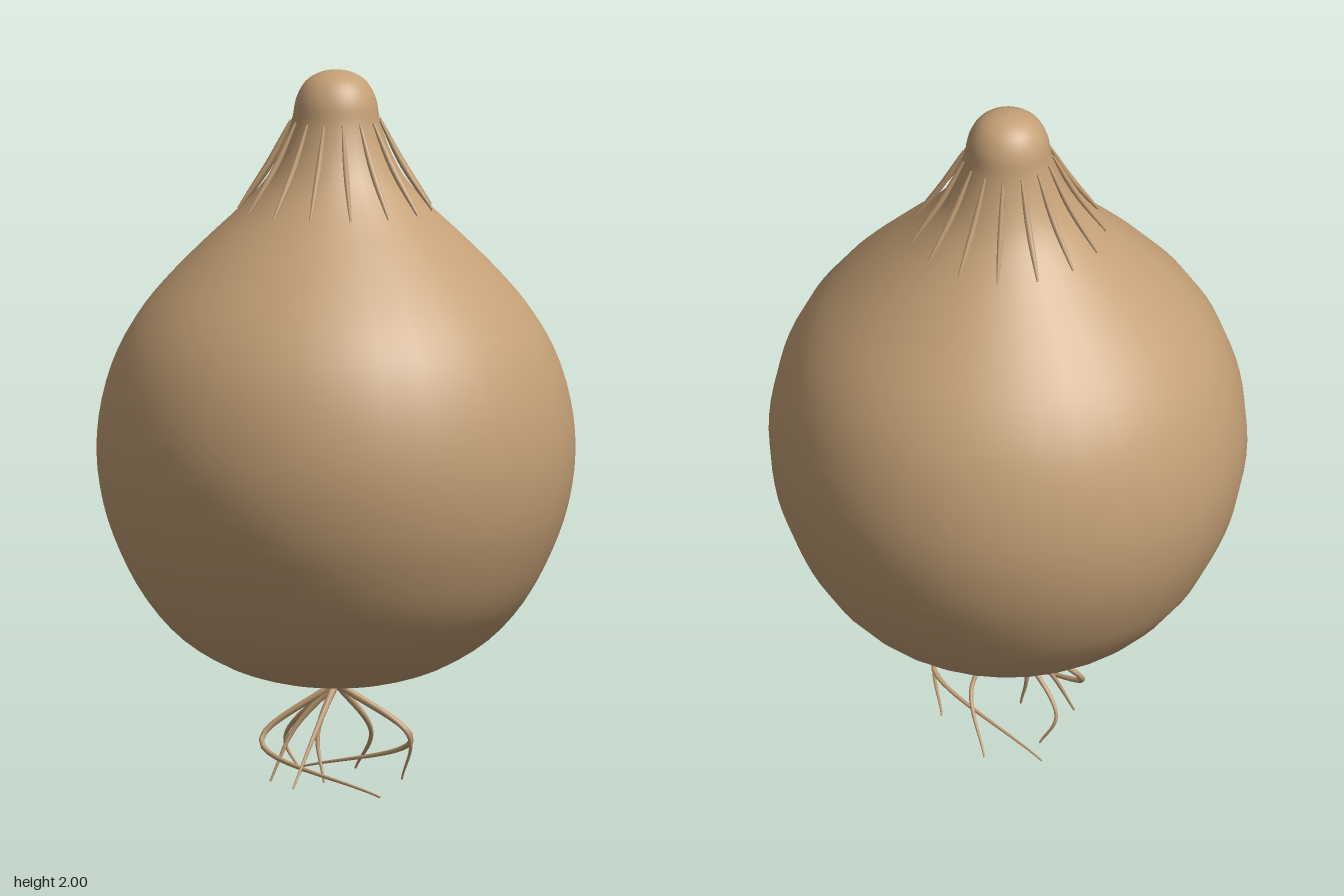
import * as THREE from 'three';

const skin = new THREE.MeshStandardMaterial({ color: 0xc4a076 });
skin.name = 'tanSkin';

const v = (x, y, z) => new THREE.Vector3(x, y, z);

// Tube along a smooth path whose radius follows a function of 0..1
function taperedTube(name, points, radiusAt, segments = 24, sides = 6) {
  const curve = new THREE.CatmullRomCurve3(points);
  const geo = new THREE.TubeGeometry(curve, segments, 1, sides);
  const pos = geo.attributes.position;
  const p = new THREE.Vector3();
  for (let i = 0; i <= segments; i++) {
    const centre = curve.getPointAt(i / segments);
    for (let j = 0; j <= sides; j++) {
      const k = i * (sides + 1) + j;
      p.fromBufferAttribute(pos, k).sub(centre).multiplyScalar(radiusAt(i / segments)).add(centre);
      pos.setXYZ(k, p.x, p.y, p.z);
    }
  }
  const mesh = new THREE.Mesh(geo, skin);
  mesh.name = name;
  return mesh;
}

export function createModel() {
  const model = new THREE.Group();
  model.name = 'bulb';

  // Round body flowing into a narrow neck with a domed tip
  const profile = [
    [0, 0.27], [0.16, 0.287], [0.3, 0.33], [0.43, 0.41], [0.53, 0.52], [0.6, 0.65],
    [0.645, 0.78], [0.665, 0.93], [0.65, 1.08], [0.605, 1.22], [0.54, 1.33], [0.455, 1.43],
    [0.355, 1.53], [0.26, 1.62], [0.19, 1.7], [0.148, 1.78], [0.122, 1.86], [0.111, 1.92],
    [0.085, 1.967], [0.045, 1.992], [0, 2],
  ].map(([r, y]) => v(r, y, 0));
  const outline = new THREE.CatmullRomCurve3(profile).getPoints(60)
    .map((p) => new THREE.Vector2(Math.max(p.x, 0), p.y));
  const body = new THREE.Mesh(new THREE.LatheGeometry(outline, 32), skin);
  body.name = 'body';
  model.add(body);

  // Dry fibres round the neck
  const fibres = new THREE.Group();
  fibres.name = 'neckFibres';
  for (let i = 0; i < 15; i++) {
    const a = (i / 15) * Math.PI * 2;
    const at = (r, y) => v(r * Math.cos(a), y, r * Math.sin(a));
    fibres.add(taperedTube('neckFibre', [at(0.125, 1.86), at(0.187, 1.74), at(0.272, 1.612)],
      (t) => 0.001 + 0.008 * Math.sin(Math.PI * (0.1 + 0.8 * t)), 12));
  }
  model.add(fibres);

  // Curling roots: [middle x, middle y, end x, end z]
  const roots = new THREE.Group();
  roots.name = 'roots';
  [
    [-0.17, 0.12, 0.28, 0.2],
    [0.2, 0.13, -0.22, -0.14],
    [0, 0.14, 0, 0.22],
    [0.04, 0.14, -0.08, -0.22],
    [-0.2, 0.1, -0.16, -0.07],
    [0.2, 0.14, 0.14, -0.12],
    [-0.1, 0.15, -0.14, 0.12],
    [-0.04, 0.14, 0, 0.06],
  ].forEach(([mx, my, ex, ez]) => {
    const mz = ez * (0.28 - my) / 0.27;
    roots.add(taperedTube('root', [v(0, 0.28, 0), v(mx, my, mz), v(ex, 0.005, ez)],
      (t) => 0.011 - 0.008 * t, 28));
  });
  model.add(roots);

  return model;
}
